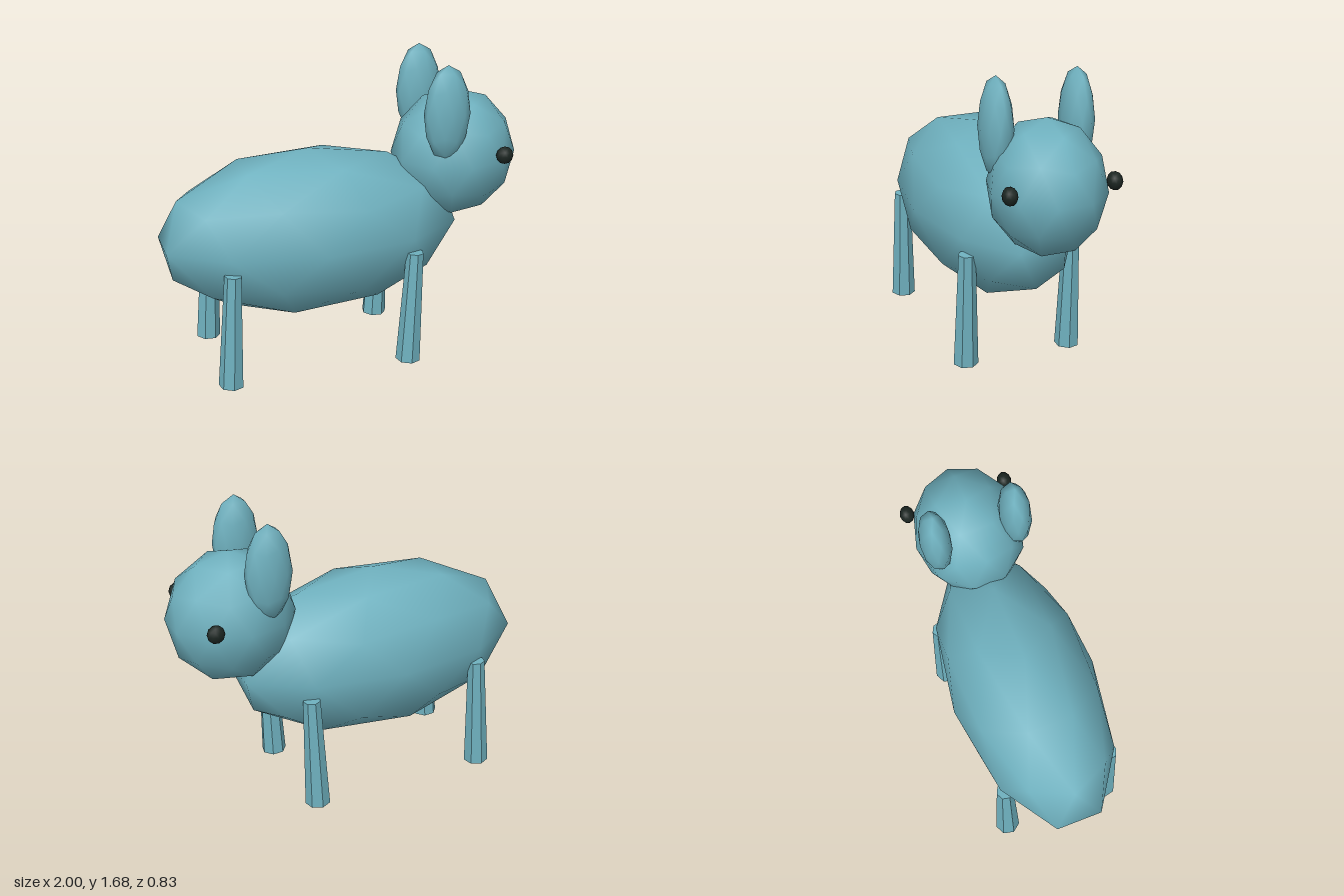
import * as THREE from 'three';

const skin = new THREE.MeshStandardMaterial({ color: 0x6fb1bf });
const legSkin = new THREE.MeshStandardMaterial({ color: 0x6fb1bf, flatShading: true });
const eyeDark = new THREE.MeshStandardMaterial({ color: 0x1c2622 });

// Smooth-shaded, 80-sided ball with a corner straight up, stretched to the given radii
function ball(name, radii, position, material = skin) {
  const golden = (1 + Math.sqrt(5)) / 2;
  const geometry = new THREE.IcosahedronGeometry(1, 1);
  geometry.rotateZ(-Math.atan(1 / golden));
  geometry.scale(...radii);
  const mesh = new THREE.Mesh(geometry, material);
  mesh.name = name;
  mesh.position.set(...position);
  return mesh;
}

// Tapered seven-sided leg, leaning slightly forward at the top
function leg(name, x, side) {
  const geometry = new THREE.CylinderGeometry(0.048, 0.07, 0.655, 7);
  if (side < 0) geometry.rotateY(Math.PI / 7 * 7); // mirrored footprint
  const mesh = new THREE.Mesh(geometry, legSkin);
  mesh.name = name;
  mesh.position.set(x, 0.331, side * 0.308);
  mesh.rotation.z = -0.045;
  return mesh;
}

export function createModel() {
  const group = new THREE.Group();
  group.name = 'animal';

  // Long body and round head, with the head towards +x
  group.add(ball('body', [0.862, 0.475, 0.415], [-0.18, 0.74, 0]));
  group.add(ball('head', [0.352, 0.3655, 0.305], [0.665, 1.1075, 0]));

  // Paired ears, eyes and legs
  for (const side of [1, -1]) {
    const label = side > 0 ? 'near' : 'far';
    group.add(ball(label + 'Ear', [0.13, 0.27, 0.085], [0.535, 1.41, side * 0.225]));
    group.add(ball(label + 'Eye', [0.048, 0.05, 0.04], [0.855, 1.16, side * 0.287], eyeDark));
    group.add(leg(label + 'FrontLeg', 0.325, side));
    group.add(leg(label + 'BackLeg', -0.695, side));
  }
  return group;
}
